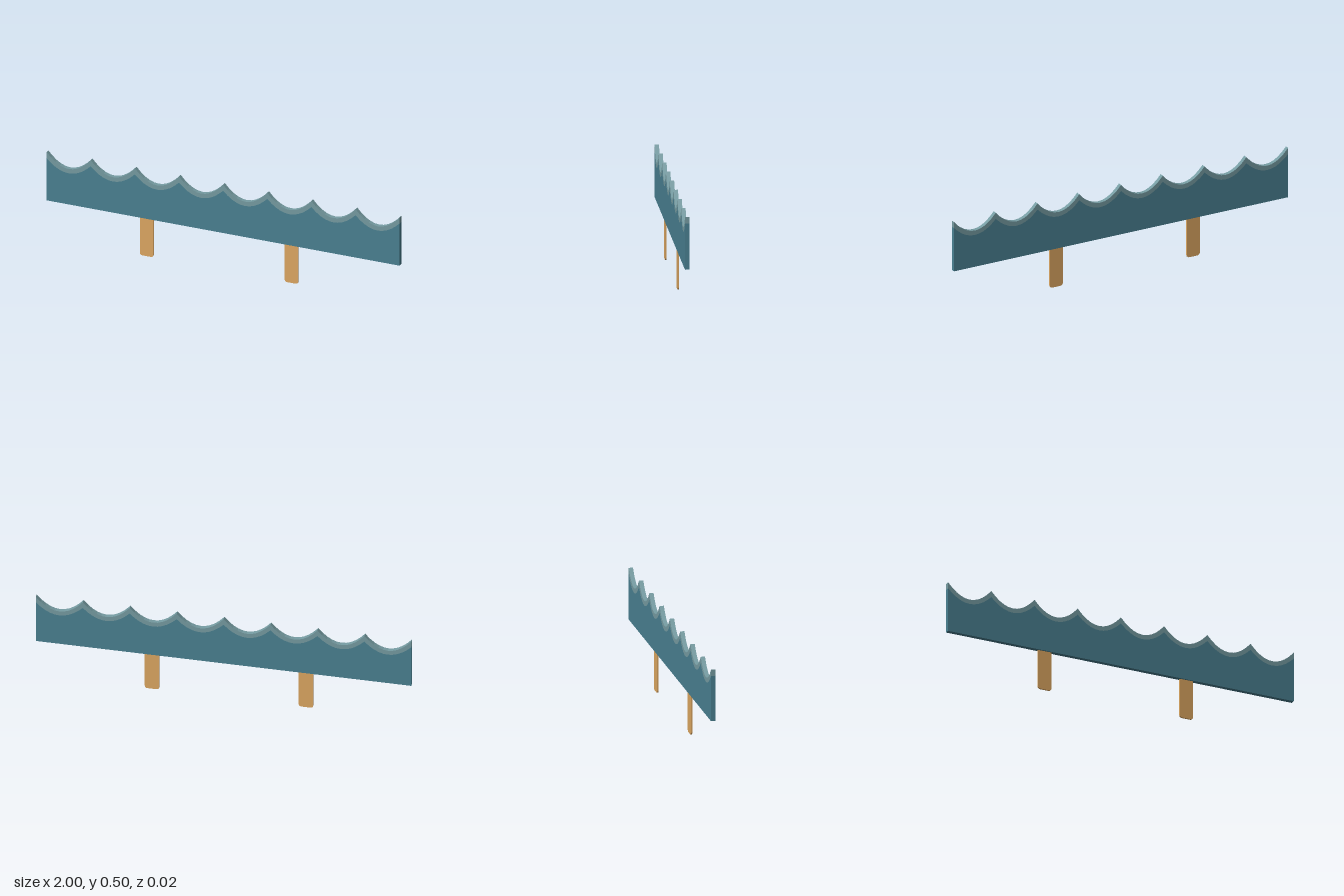
import * as THREE from 'three';

const WAVES = 8, STEP = 2 / WAVES, SEGMENTS = 10;
const BOARD_DEPTH = 0.023, STICK_DEPTH = 0.008;

// Scalloped line from left to right: sharp crests, rounded troughs
function scallops(crest, trough) {
  const points = [];
  const count = WAVES * SEGMENTS;
  for (let i = 0; i <= count; i++) {
    const t = (i % SEGMENTS) / SEGMENTS * 2 - 1;
    points.push(new THREE.Vector2(-1 + i * STEP / SEGMENTS, trough + (crest - trough) * t * t));
  }
  return points;
}

function slab(name, shape, depth, color) {
  const geometry = new THREE.ExtrudeGeometry(shape, { depth, bevelEnabled: false, curveSegments: 6 });
  geometry.translate(0, 0, -depth / 2);
  const mesh = new THREE.Mesh(geometry, new THREE.MeshStandardMaterial({ color }));
  mesh.name = name;
  return mesh;
}

// Upright stick with rounded lower corners
function stickShape(width, top, r) {
  const w = width / 2;
  const s = new THREE.Shape();
  s.moveTo(-w, top);
  s.lineTo(-w, r);
  s.quadraticCurveTo(-w, 0, -w + r, 0);
  s.lineTo(w - r, 0);
  s.quadraticCurveTo(w, 0, w, r);
  s.lineTo(w, top);
  return s;
}

export function createModel() {
  const group = new THREE.Group();
  group.name = 'waveCutout';

  const foamTop = scallops(0.5, 0.425);
  const waterTop = scallops(0.465, 0.4);

  // Water board
  const water = new THREE.Shape([
    new THREE.Vector2(-1, 0.22), new THREE.Vector2(1, 0.22), ...waterTop.slice().reverse(),
  ]);
  group.add(slab('waterBoard', water, BOARD_DEPTH, 0x4a8192));

  // Foam band along the wave crests
  const foam = new THREE.Shape([...waterTop, ...foamTop.slice().reverse()]);
  group.add(slab('foamBand', foam, BOARD_DEPTH, 0x769ca2));

  // Two holding sticks, tucked into the board
  [['rightStick', -0.437], ['leftStick', 0.383]].forEach(([name, x]) => {
    const stick = slab(name, stickShape(0.077, 0.23, 0.016), STICK_DEPTH, 0xdea862);
    stick.position.x = x;
    group.add(stick);
  });

  return group;
}
